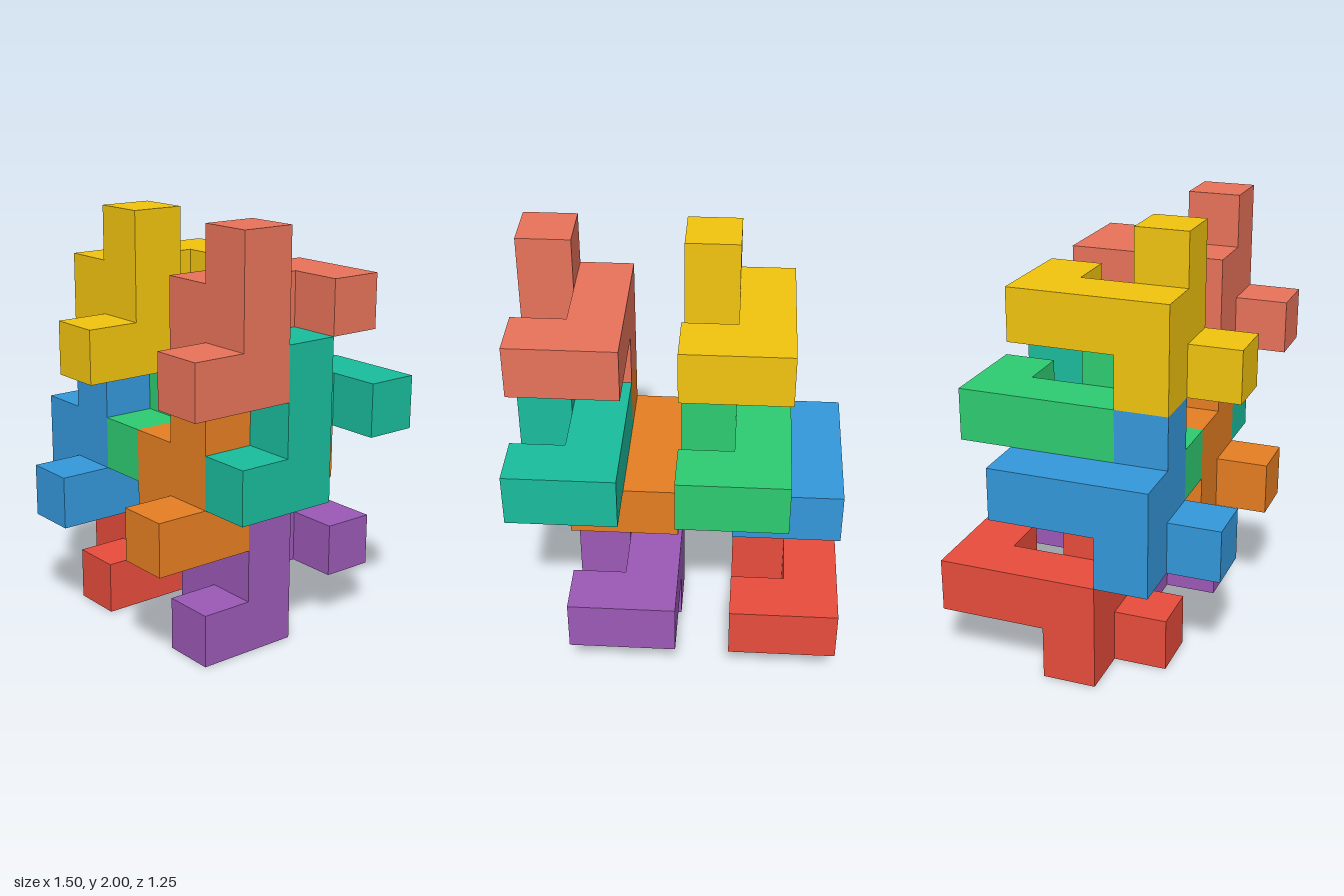
import * as THREE from 'three';
import { mergeGeometries } from 'three/addons/utils/BufferGeometryUtils.js';

const U = 0.25; // edge of one cube cell

// Cells of the repeated piece as [x, y, z], counted from the foot of its column
const CELLS = [
  [0, 0, 0], [0, 1, 0], [0, 2, 0],     // upright column
  [0, 0, 1],                           // toe pointing forward
  [-1, 0, 0], [-1, 1, 0],              // side block
  [-1, 1, -1], [-1, 1, -2], [0, 1, -2] // hooked arm at the back
];

const DIRECTIONS = [[1, 0, 0], [-1, 0, 0], [0, 1, 0], [0, -1, 0], [0, 0, 1], [0, 0, -1]];

// One closed skin: a square only where a cell has no neighbour
function pieceGeometry() {
  const key = (c) => c.join(',');
  const filled = new Set(CELLS.map(key));
  const forward = new THREE.Vector3(0, 0, 1);
  const squares = [];
  for (const cell of CELLS) {
    for (const dir of DIRECTIONS) {
      if (filled.has(key(cell.map((v, i) => v + dir[i])))) continue;
      const normal = new THREE.Vector3(...dir);
      const turn = dir[2] === -1
        ? new THREE.Quaternion().setFromAxisAngle(new THREE.Vector3(0, 1, 0), Math.PI)
        : new THREE.Quaternion().setFromUnitVectors(forward, normal);
      const centre = new THREE.Vector3(...cell).addScaledVector(normal, 0.5).multiplyScalar(U);
      squares.push(new THREE.PlaneGeometry(U, U).applyQuaternion(turn).translate(centre.x, centre.y, centre.z));
    }
  }
  return mergeGeometries(squares);
}

// Name, colour and the grid cell of each column's foot
const PIECES = [
  ['redPiece', 0xe74c3c, 1, 0, 2],
  ['bluePiece', 0x3498db, 1, 2, 3],
  ['greenPiece', 0x2ecc71, 2, 3, 2],
  ['yellowPiece', 0xf1c40f, 2, 5, 3],
  ['purplePiece', 0x9b59b6, 4, 0, 2],
  ['orangePiece', 0xe67e22, 4, 2, 3],
  ['tealPiece', 0x1abc9c, 5, 3, 2],
  ['salmonPiece', 0xe8735a, 5, 5, 3]
];

export function createModel() {
  const model = new THREE.Group();
  model.name = 'interlockingBlocks';
  const geometry = pieceGeometry();
  for (const [name, color, i, j, k] of PIECES) {
    const piece = new THREE.Mesh(geometry, new THREE.MeshStandardMaterial({ color }));
    piece.name = name;
    piece.position.set((i - 2.5) * U, (j + 0.5) * U, (k - 2) * U);
    model.add(piece);
  }
  return model;
}
